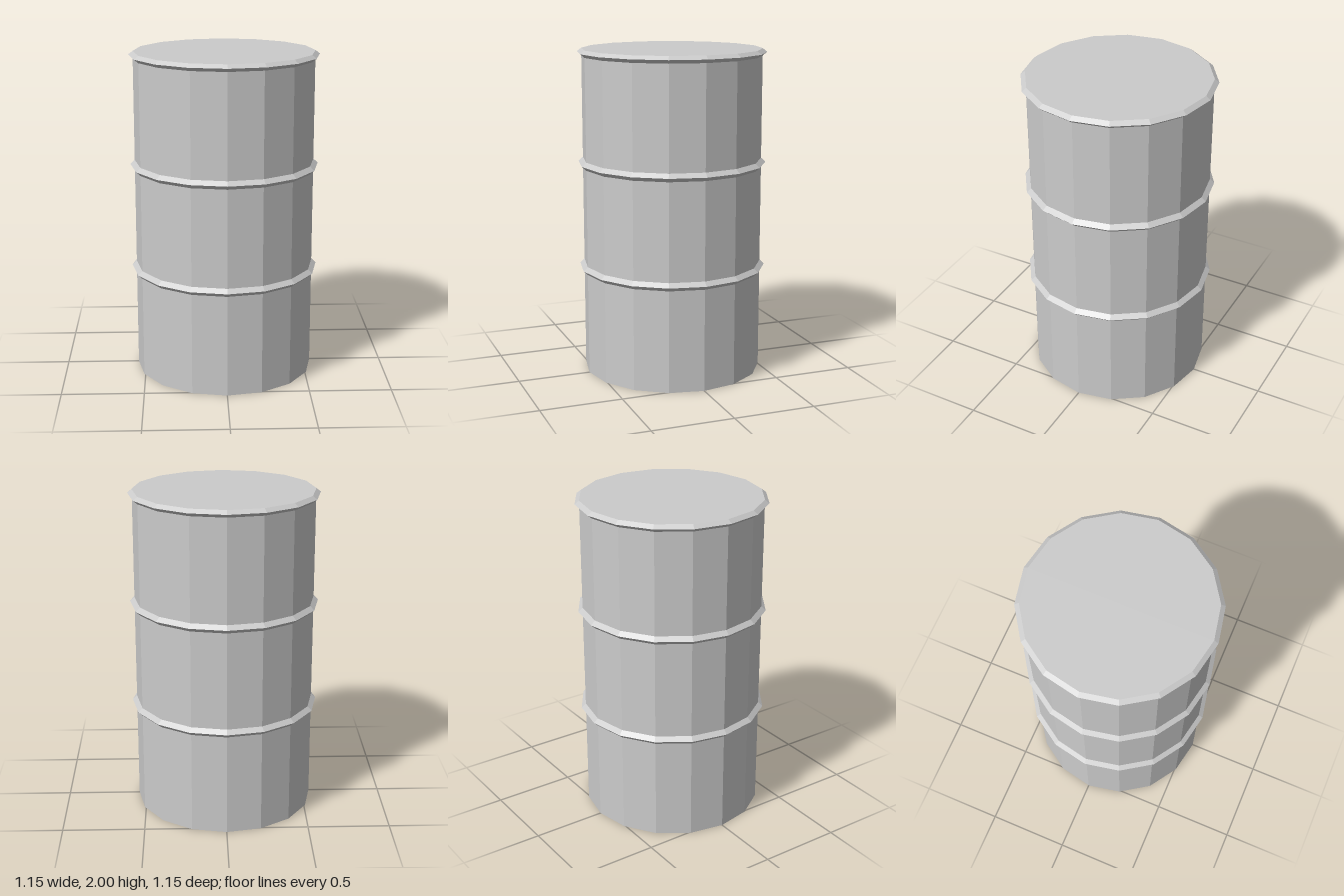
import * as THREE from 'three';

const SIDES = 16;
const R = 0.55;      // drum wall radius
const RIM = 0.577;   // radius at the ridge of each hoop

const material = new THREE.MeshStandardMaterial({ color: 0xcccccc, flatShading: true });

// Hoop with a triangular section: wall, ridge, wall
function createHoop(name, bottom, ridge, top) {
  const profile = [[R, bottom], [RIM, ridge], [R, top]].map(([r, y]) => new THREE.Vector2(r, y));
  const hoop = new THREE.Mesh(new THREE.LatheGeometry(profile, SIDES), material);
  hoop.name = name;
  return hoop;
}

export function createModel() {
  const barrel = new THREE.Group();
  barrel.name = 'barrel';

  // Closed sixteen-sided drum
  const body = new THREE.Mesh(new THREE.CylinderGeometry(R, R, 2, SIDES), material);
  body.name = 'drumBody';
  body.position.y = 1;
  barrel.add(body);

  // Two hoops around the wall and the rim at the lid
  barrel.add(
    createHoop('lowerHoop', 0.63, 0.655, 0.68),
    createHoop('upperHoop', 1.28, 1.305, 1.33),
    createHoop('topRim', 1.957, 1.979, 2),
  );
  return barrel;
}
